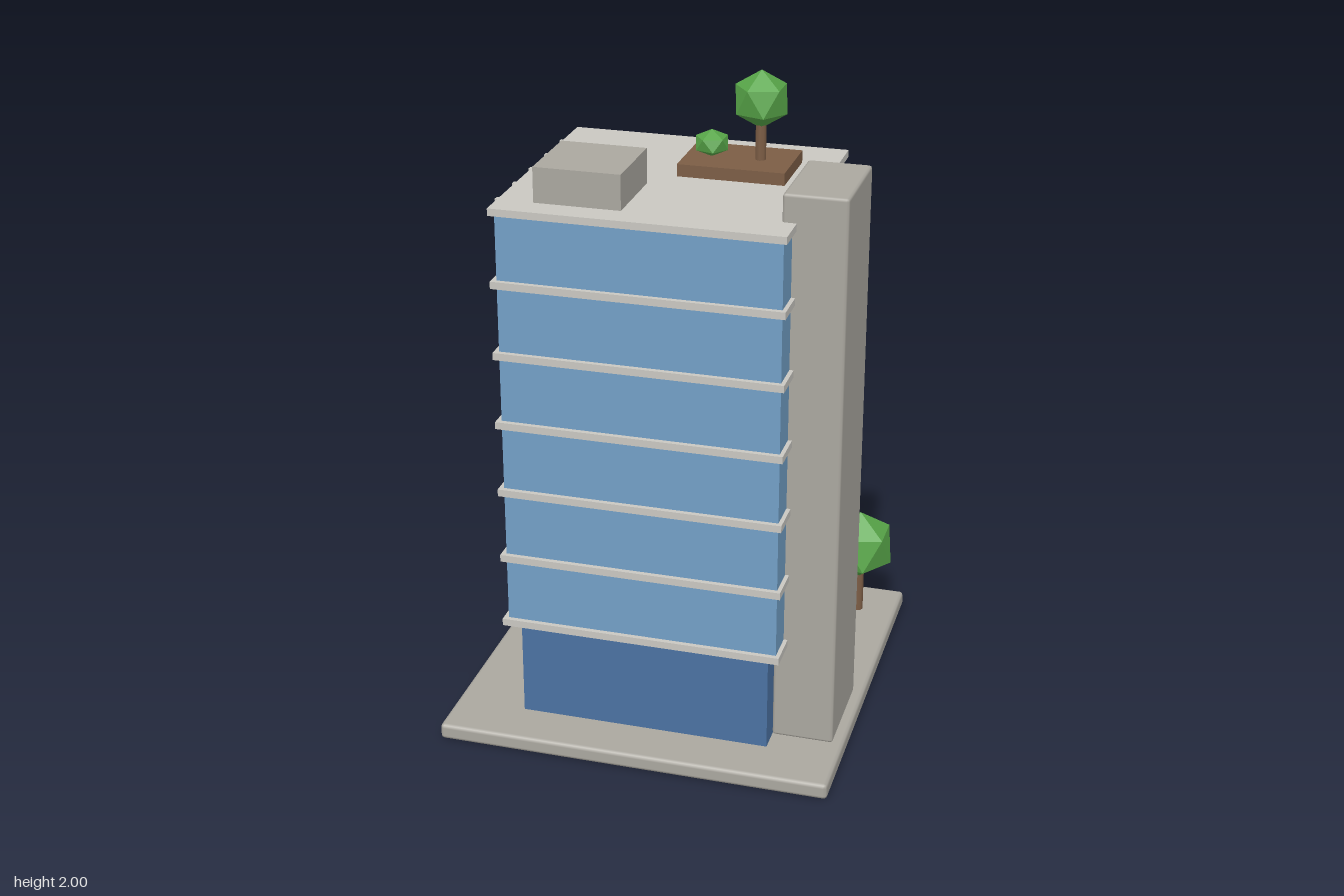
import * as THREE from 'three';
import { RoundedBoxGeometry } from 'three/addons/geometries/RoundedBoxGeometry.js';

const material = (name, color, flatShading = false) => {
  const m = new THREE.MeshStandardMaterial({ color, flatShading });
  m.name = name;
  return m;
};

export function createModel() {
  const concrete = material('concrete', 0xaaa79f);
  const trim = material('pale trim', 0xc9c7c1);
  const glass = material('light glass', 0x729fc6);
  const darkGlass = material('dark glass', 0x4b72a2);
  const slate = material('slate', 0x686e7b);
  const wood = material('brown', 0x7c5d45);
  const leaf = material('leaf green', 0x57a548, true);

  const model = new THREE.Group();
  model.name = 'officeTower';

  const add = (parent, name, geometry, mat, x, y, z) => {
    const mesh = new THREE.Mesh(geometry, mat);
    mesh.name = name;
    mesh.position.set(x, y, z);
    parent.add(mesh);
    return mesh;
  };
  // Box given by its [min, max] on each axis; a bevel rounds its edges
  const box = (parent, name, mat, [x0, x1], [y0, y1], [z0, z1], bevel = 0) => {
    const size = [x1 - x0, y1 - y0, z1 - z0];
    const geometry = bevel
      ? new RoundedBoxGeometry(...size, 1, bevel)
      : new THREE.BoxGeometry(...size);
    return add(parent, name, geometry, mat, (x0 + x1) / 2, (y0 + y1) / 2, (z0 + z1) / 2);
  };
  const group = (name) => {
    const g = new THREE.Group();
    g.name = name;
    model.add(g);
    return g;
  };
  // Faceted crown standing on one corner
  const crown = (parent, name, r, x, y, z) => {
    const geometry = new THREE.IcosahedronGeometry(r, 0);
    geometry.rotateZ(Math.atan(2 / (1 + Math.sqrt(5))));
    return add(parent, name, geometry, leaf, x, y, z);
  };
  const tree = (name, x, z, ground, trunkRadius, crownY, r) => {
    const g = group(name);
    const h = crownY - ground;
    add(g, 'trunk', new THREE.CylinderGeometry(trunkRadius, trunkRadius, h, 8), wood, x, ground + h / 2, z);
    crown(g, 'crown', r, x, crownY, z);
  };

  // Ground plate, recessed ground floor and main body
  box(model, 'groundPlate', concrete, [-0.605, 0.605], [0, 0.05], [-0.605, 0.605], 0.012);
  box(model, 'groundFloor', darkGlass, [-0.385, 0.385], [0.05, 0.37], [-0.247, 0.45]);
  box(model, 'towerBody', glass, [-0.415, 0.415], [0.37, 1.685], [-0.284, 0.478]);

  // Floor slabs and the rear windows of each storey
  const slabs = group('floorSlabs');
  const windows = group('rearWindows');
  const firstFloor = 0.376, storey = 0.218;
  for (let i = 0; i <= 6; i++) {
    const y = firstFloor + i * storey;
    box(slabs, 'slab', trim, [-0.43, 0.427], [y - 0.011, y + 0.011], [-0.303, 0.493]);
    if (i === 6) break;
    const c = y + storey / 2;
    for (const x of [-0.265, -0.088, 0.088, 0.265]) {
      box(windows, 'window', darkGlass, [x - 0.072, x + 0.072], [c - 0.063, c + 0.063], [-0.308, -0.28]);
    }
  }

  // Vertical fins on the right side
  const fins = group('sideFins');
  for (let i = 0; i < 5; i++) {
    const z = -0.196 + i * 0.141;
    box(fins, 'fin', trim, [-0.45, -0.41], [0.376, 1.683], [z - 0.009, z + 0.009]);
  }

  // Columns below the rear overhang
  const columns = group('columns');
  for (const x of [-0.385, -0.128, 0.128, 0.385]) {
    box(columns, 'column', trim, [x - 0.02, x + 0.02], [0.05, 0.37], [-0.287, -0.247]);
  }

  // Entrance canopy, lift shaft and roof plant
  box(model, 'canopy', slate, [-0.322, 0.19], [0.366, 0.381], [-0.485, -0.285]);
  box(model, 'liftShaft', concrete, [0.385, 0.572], [0.05, 1.777], [0.065, 0.38], 0.009);
  box(model, 'roofPlant', concrete, [-0.322, -0.065], [1.69, 1.8], [0.16, 0.412]);

  // Roof garden
  box(model, 'planter', wood, [0, 0.32], [1.69, 1.732], [-0.148, 0.078]);
  tree('roofTree', 0.222, -0.033, 1.72, 0.016, 1.913, 0.087);
  crown(model, 'roofBush', 0.055, 0.075, 1.77, -0.033).scale.y = 0.75;

  // Ground tree and bollards
  tree('groundTree', 0.477, -0.449, 0.045, 0.018, 0.291, 0.119);
  const bollards = group('bollards');
  for (const x of [-0.513, -0.418, -0.322]) {
    add(bollards, 'bollard', new THREE.CylinderGeometry(0.007, 0.007, 0.085, 6), wood, x, 0.088, -0.515);
  }
  return model;
}
